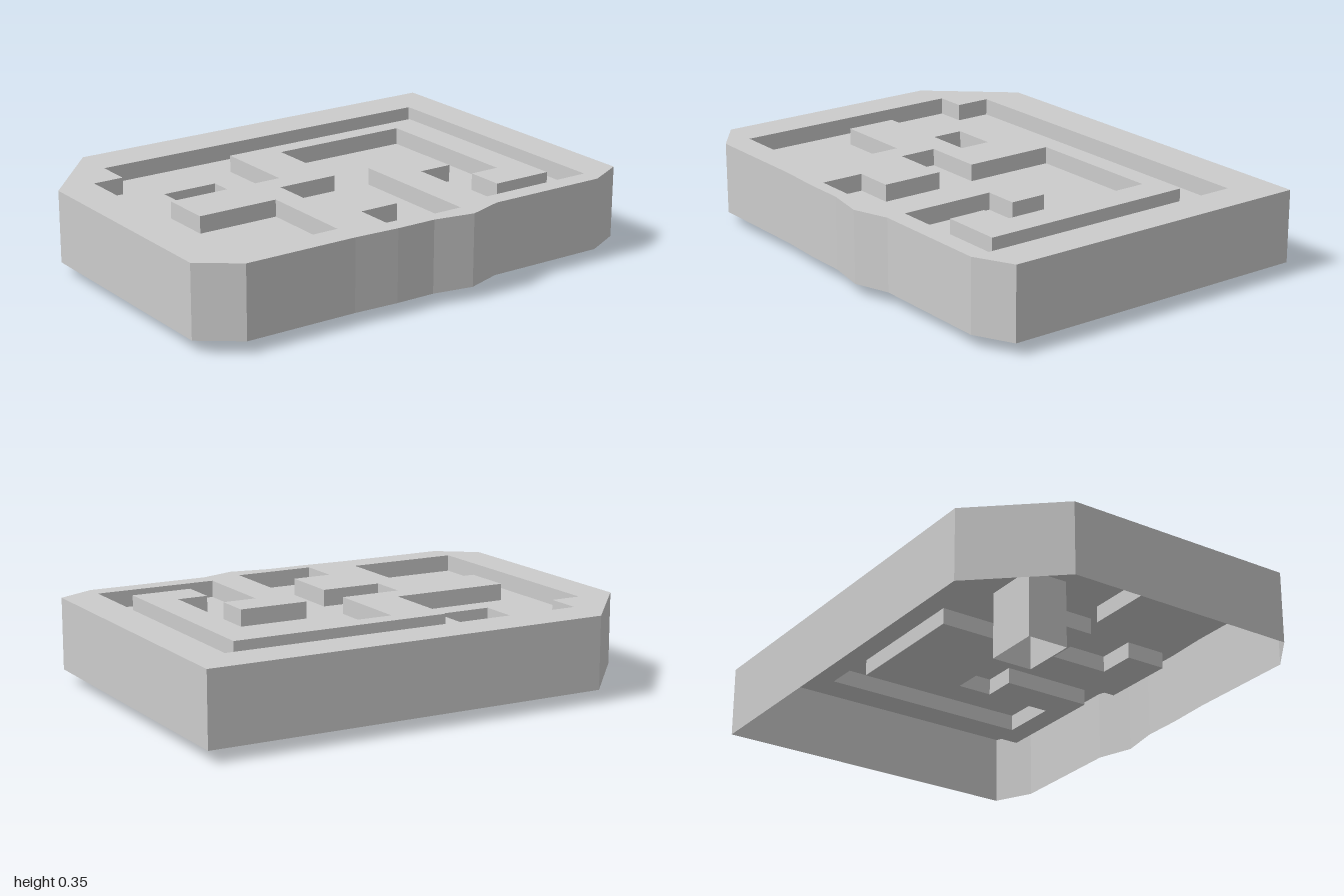
import * as THREE from 'three';

const TOP = 0.35, RIM = 0.05, FLOOR = 0.28, BASE = 0;

// All outlines are [x, z], clockwise as seen from above
const OUTER = [
  [-1, -0.41], [-0.71, -0.74], [1, -0.74], [1, 0.61], [0.84, 0.69], [0.32, 0.69],
  [0.17, 0.74], [0, 0.71], [-0.17, 0.71], [-0.36, 0.7], [-0.84, 0.7], [-1, 0.58],
];
const MAZE = [
  [-0.71, -0.56], [0.84, -0.56], [0.84, 0.61], [0.32, 0.61], [0.32, 0.21], [0.465, 0.21],
  [0.465, 0.055], [0.17, 0.055], [0.17, 0.655], [-0.17, 0.655], [-0.17, 0.475], [0, 0.475],
  [0, 0.215], [-0.26, 0.215], [-0.26, 0.055], [0, 0.055], [0, -0.33], [0.6, -0.33],
  [0.6, 0.35], [0.47, 0.35], [0.47, 0.51], [0.73, 0.51], [0.73, -0.41], [-0.2, -0.41],
  [-0.2, -0.045], [-0.705, -0.045], [-0.705, 0.17], [-0.36, 0.17], [-0.36, 0.585],
  [-0.84, 0.585], [-0.84, -0.41], [-0.71, -0.41],
];
const HOLE = [[-0.575, -0.315], [-0.335, -0.315], [-0.335, -0.14], [-0.575, -0.14]];

export function createModel() {
  const group = new THREE.Group();
  const material = new THREE.MeshStandardMaterial({
    color: 0xcccccc, flatShading: true, side: THREE.DoubleSide,
  });

  const add = (name, geometry) => {
    const mesh = new THREE.Mesh(geometry, material);
    mesh.name = name;
    group.add(mesh);
  };

  // Flat sheet at a given height with one opening
  const sheet = (outline, opening, y) => {
    const points = (list) => list.map(([x, z]) => new THREE.Vector2(x, -z));
    const shape = new THREE.Shape(points(outline));
    shape.holes.push(new THREE.Path(points(opening)));
    return new THREE.ShapeGeometry(shape).rotateX(-Math.PI / 2).translate(0, y, 0);
  };

  // Upright band that follows an outline; clockwise outlines face outward
  const wall = (outline, low, high) => {
    const positions = [];
    outline.forEach(([ax, az], i) => {
      const [bx, bz] = outline[(i + 1) % outline.length];
      positions.push(
        ax, low, az, ax, high, az, bx, high, bz,
        ax, low, az, bx, high, bz, bx, low, bz,
      );
    });
    const geometry = new THREE.BufferGeometry();
    geometry.setAttribute('position', new THREE.Float32BufferAttribute(positions, 3));
    geometry.computeVertexNormals();
    return geometry;
  };

  // Open-bottomed shell
  add('outerWall', wall(OUTER, RIM, TOP));
  add('topSurface', sheet(OUTER, MAZE, TOP));

  // Sunken winding channel
  add('channelWall', wall([...MAZE].reverse(), FLOOR, TOP));
  add('channelFloor', sheet(MAZE, HOLE, FLOOR));

  // Square shaft dropping through the floor
  add('shaft', wall(HOLE, BASE, FLOOR));

  return group;
}
